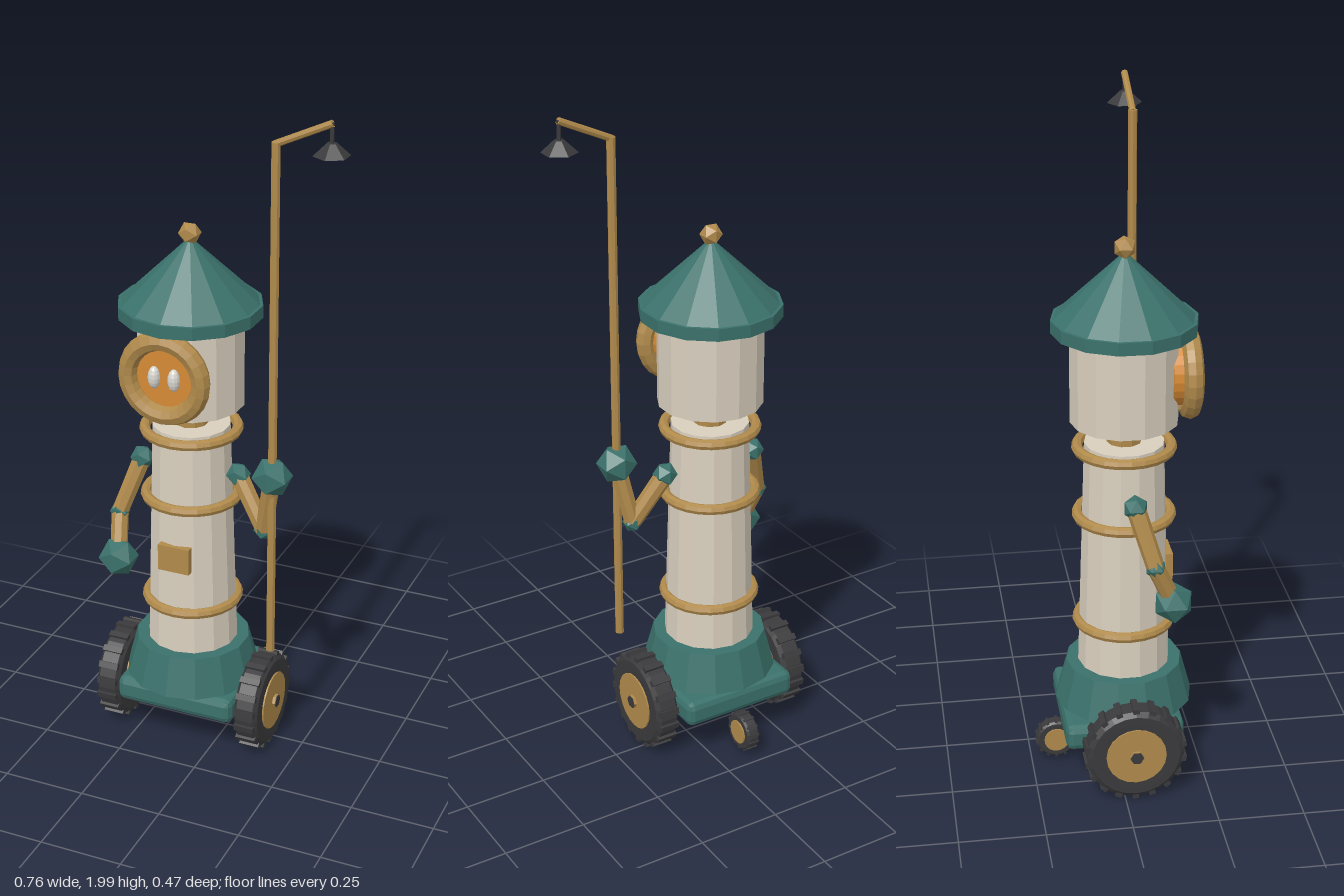
import * as THREE from 'three';
import { RoundedBoxGeometry } from 'three/addons/geometries/RoundedBoxGeometry.js';

const mat = (name, color, flatShading = true) => {
  const m = new THREE.MeshStandardMaterial({ color, flatShading });
  m.name = name;
  return m;
};

export function createModel() {
  const teal = mat('teal', 0x3b716b);
  const brass = mat('brass', 0xb08a4b);
  const cream = mat('cream', 0xd9cfbe);
  const dark = mat('rubber', 0x3a3a3c);
  const amber = mat('amber', 0xd68a34);
  const pale = mat('eyeGlass', 0xd8d6d0);
  const root = new THREE.Group();
  root.name = 'lampRobot';
  const CX = -0.1, CZ = 0.03;

  function add(name, geo, material, x = 0, y = 0, z = 0, parent = root) {
    const m = new THREE.Mesh(geo, material);
    m.name = name;
    m.position.set(x, y, z);
    parent.add(m);
    return m;
  }
  // Upright drum on the body axis between two heights
  const drum = (name, rTop, rBottom, y0, y1, material, sides = 14) =>
    add(name, new THREE.CylinderGeometry(rTop, rBottom, y1 - y0, sides), material, CX, (y0 + y1) / 2, CZ);
  const ball = (name, r, p, material) => add(name, new THREE.IcosahedronGeometry(r, 0), material, ...p);
  // Tapered rod between two points
  function rod(name, a, b, ra, rb, material, sides = 8) {
    const A = new THREE.Vector3(...a), B = new THREE.Vector3(...b);
    const d = B.clone().sub(A);
    const m = add(name, new THREE.CylinderGeometry(rb, ra, d.length(), sides), material);
    m.position.copy(A).addScaledVector(d, 0.5);
    m.quaternion.setFromUnitVectors(new THREE.Vector3(0, 1, 0), d.normalize());
    return m;
  }

  // Treaded wheel whose axle runs along x
  function wheel(name, r, width, hubR, treads, x, y, z) {
    const g = new THREE.Group();
    g.name = name;
    g.position.set(x, y, z);
    root.add(g);
    const h = width / 2;
    const profile = [[0, -h * 0.9], [r * 0.75, -h], [r * 0.9, -h], [r, -h * 0.7],
      [r, h * 0.7], [r * 0.9, h], [r * 0.75, h], [0, h * 0.9]].map(p => new THREE.Vector2(...p));
    add('tyre', new THREE.LatheGeometry(profile, 24), dark, 0, 0, 0, g).rotation.z = Math.PI / 2;
    add('hub', new THREE.CylinderGeometry(hubR, hubR, width + 0.008, 20), brass, 0, 0, 0, g).rotation.z = Math.PI / 2;
    for (let i = 0; i < treads; i++) {
      const a = (i / treads) * Math.PI * 2;
      const t = add('tread', new THREE.BoxGeometry(width * 0.84, r * 0.1, r * 0.13), dark,
        0, Math.cos(a) * r, Math.sin(a) * r, g);
      t.rotation.x = a;
    }
    return g;
  }

  // Chassis and wheels
  add('chassis', new RoundedBoxGeometry(0.372, 0.078, 0.348, 1, 0.02), teal, CX, 0.175, 0.011);
  for (const s of [-1, 1]) {
    const x = CX + s * 0.227;
    wheel(s > 0 ? 'leftWheel' : 'rightWheel', 0.143, 0.074, 0.088, 18, x, 0.156, CZ);
    add('axleEnd', new THREE.CylinderGeometry(0.02, 0.02, 0.014, 6), brass, x + s * 0.043, 0.156, CZ).rotation.z = Math.PI / 2;
    add('axleCap', new THREE.CylinderGeometry(0.02, 0.02, 0.002, 6), dark, x + s * 0.051, 0.156, CZ).rotation.z = Math.PI / 2;
  }
  wheel('rearWheel', 0.059, 0.04, 0.037, 14, CX, 0.075, -0.175);

  // Body
  drum('skirt', 0.171, 0.203, 0.22, 0.34, teal);
  drum('torso', 0.115, 0.136, 0.33, 1.04, cream);
  for (const y of [0.476, 0.815, 1.025])
    add('bodyRing', new THREE.TorusGeometry(0.135, 0.016, 8, 24), brass, CX, y, CZ).rotation.x = Math.PI / 2;
  add('chestPanel', new THREE.BoxGeometry(0.098, 0.082, 0.05), brass, CX, 0.652, 0.142);

  // Head and hat
  drum('neck', 0.05, 0.05, 1.02, 1.12, brass, 10);
  drum('head', 0.155, 0.155, 1.105, 1.385, cream);
  drum('hatBrim', 0.207, 0.207, 1.375, 1.412, teal);
  drum('hatCone', 0.012, 0.198, 1.412, 1.59, teal);
  ball('finial', 0.033, [CX, 1.612, CZ], brass);

  // Face
  add('faceRing', new THREE.TorusGeometry(0.111, 0.028, 8, 24), brass, CX, 1.245, 0.209);
  add('facePlate', new THREE.CylinderGeometry(0.098, 0.098, 0.05, 24), amber, CX, 1.245, 0.18).rotation.x = Math.PI / 2;
  for (const s of [-1, 1])
    add('eye', new THREE.SphereGeometry(1, 12, 8), pale, CX + s * 0.03, 1.245, 0.21).scale.set(0.018, 0.033, 0.018);

  // Arms: shoulder, elbow, hand
  const arms = {
    right: [[-0.254, 0.9, 0.04], [-0.307, 0.735, 0.09], [-0.288, 0.612, 0.145]],
    left: [[0.05, 0.9, 0.035], [0.143, 0.755, 0.066], [0.178, 0.944, 0.093]],
  };
  for (const [side, [shoulder, elbow, hand]] of Object.entries(arms)) {
    ball(side + 'Shoulder', 0.037, shoulder, teal);
    rod(side + 'UpperArm', shoulder, elbow, 0.028, 0.026, brass);
    ball(side + 'Elbow', 0.031, elbow, teal);
    rod(side + 'Forearm', elbow, hand, 0.026, 0.026, brass);
    ball(side + 'Hand', 0.06, hand, teal);
  }

  // Lamp staff
  rod('staff', [0.178, 0.374, 0.093], [0.178, 1.92, 0.093], 0.013, 0.013, brass);
  rod('lampArm', [0.174, 1.914, 0.093], [0.335, 1.988, 0.093], 0.01, 0.01, brass);
  rod('lampHanger', [0.333, 1.99, 0.093], [0.333, 1.92, 0.093], 0.006, 0.006, dark, 6);
  add('lampShade', new THREE.CylinderGeometry(0.014, 0.051, 0.034, 6), dark, 0.333, 1.919, 0.093);
  return root;
}
